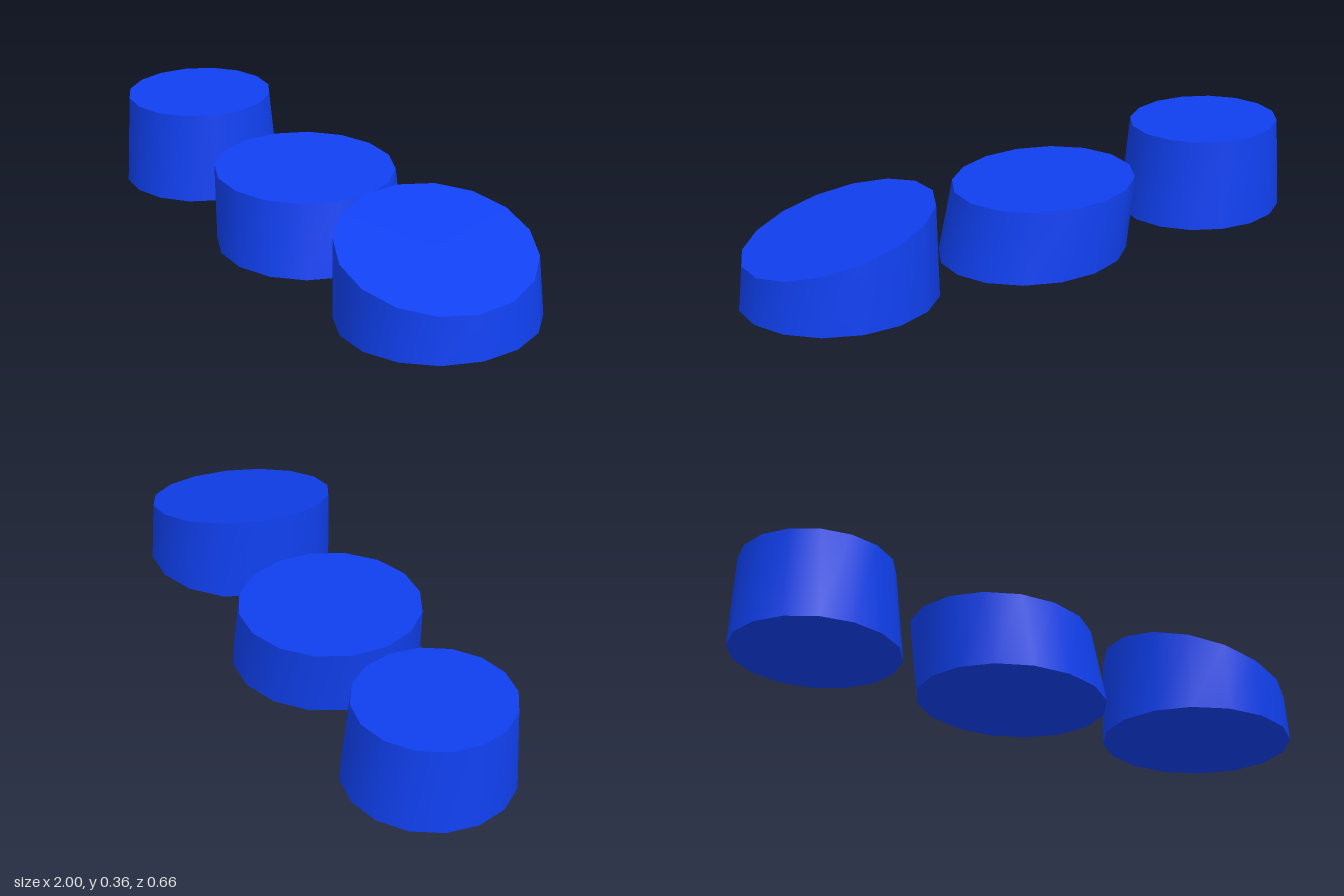
import * as THREE from 'three';
import { toCreasedNormals } from 'three/addons/utils/BufferGeometryUtils.js';

const SIDES = 16;

// Each ring: centre x, y, z, radii rx, rz, and the plane's slopes along x and z
const buttons = [
  {
    name: 'rightButton', turn: 2,
    top: { x: -0.733, y: 0.357, z: -0.03, rx: 0.253, rz: 0.256, sx: -0.025, sz: -0.028 },
    bottom: { x: -0.723, y: 0.051, z: -0.033, rx: 0.277, rz: 0.278, sx: -0.025, sz: -0.03 },
  },
  {
    name: 'middleButton', turn: 7,
    top: { x: -0.07, y: 0.27, z: -0.025, rx: 0.305, rz: 0.303, sx: -0.045, sz: -0.025 },
    bottom: { x: -0.03, y: 0.026, z: -0.02, rx: 0.316, rz: 0.316, sx: -0.035, sz: -0.04 },
  },
  {
    name: 'leftSlantedButton', turn: 8,
    top: { x: 0.672, y: 0.244, z: 0.014, rx: 0.308, rz: 0.318, sx: -0.279, sz: -0.095 },
    bottom: { x: 0.68, y: 0.016, z: 0.008, rx: 0.32, rz: 0.325, sx: -0.012, sz: -0.038 },
  },
];

// Unit cylinder whose two end rings are moved onto tilted planes
function makeButton({ name, turn, top, bottom }, material) {
  const geometry = new THREE.CylinderGeometry(1, 1, 1, SIDES);
  geometry.rotateY(THREE.MathUtils.degToRad(turn));
  const p = geometry.attributes.position;
  for (let i = 0; i < p.count; i++) {
    const r = p.getY(i) > 0 ? top : bottom;
    const dx = p.getX(i) * r.rx;
    const dz = p.getZ(i) * r.rz;
    p.setXYZ(i, r.x + dx, r.y + dx * r.sx + dz * r.sz, r.z + dz);
  }
  const mesh = new THREE.Mesh(toCreasedNormals(geometry, 0.7), material);
  mesh.name = name;
  return mesh;
}

export function createModel() {
  const group = new THREE.Group();
  group.name = 'buttons';
  const blue = new THREE.MeshStandardMaterial({ color: 0x1040f0 });
  for (const button of buttons) group.add(makeButton(button, blue));
  return group;
}
